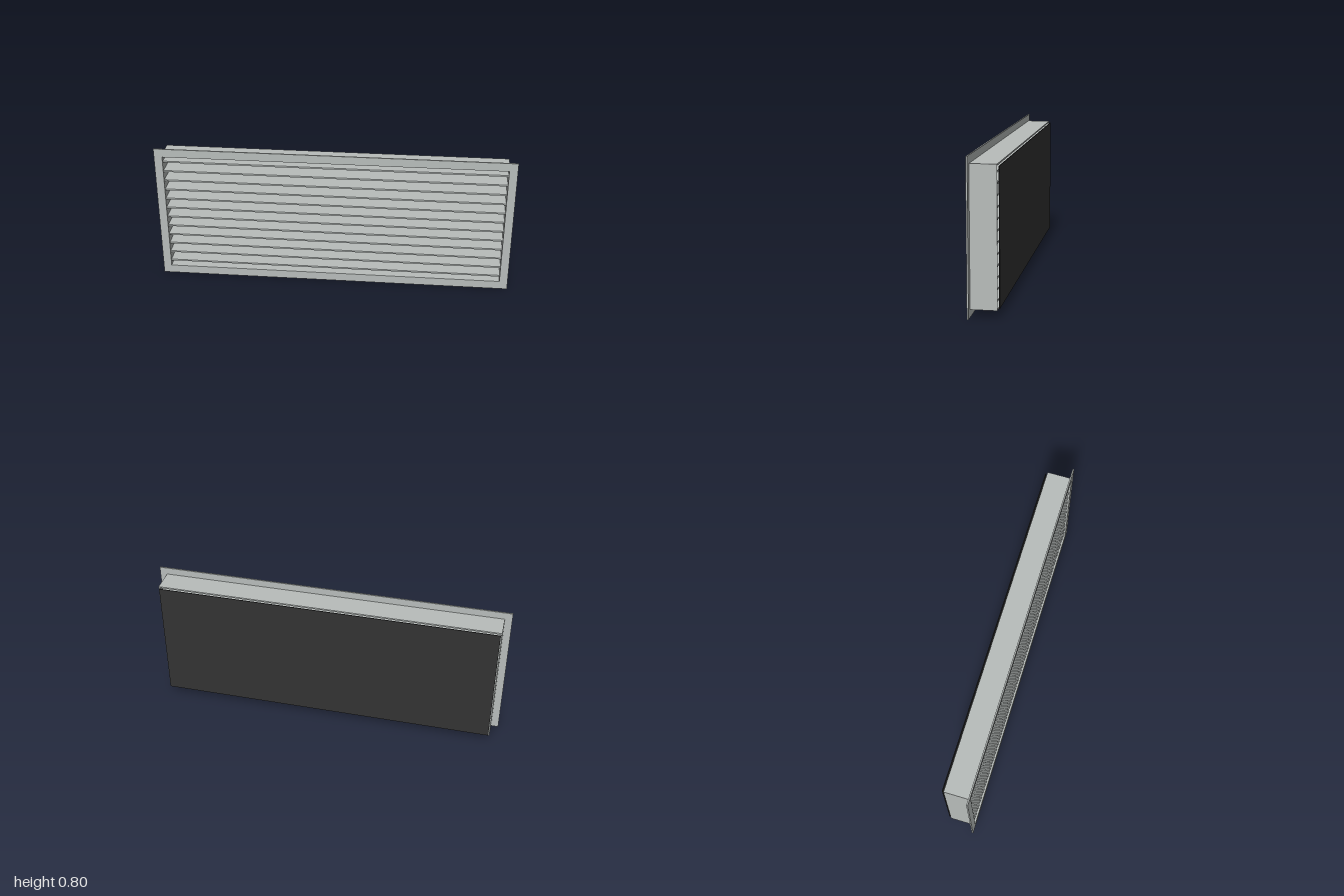
import * as THREE from 'three';

const HEIGHT = 0.797, MID = HEIGHT / 2;

// Rectangular ring with an opening, extruded from zBack to zFront
function ring(w, h, innerW, innerH, zBack, zFront) {
  const rect = (path, a, b) => path
    .moveTo(-a / 2, -b / 2).lineTo(a / 2, -b / 2)
    .lineTo(a / 2, b / 2).lineTo(-a / 2, b / 2).closePath();
  const shape = new THREE.Shape();
  rect(shape, w, h);
  const hole = new THREE.Path();
  rect(hole, innerW, innerH);
  shape.holes.push(hole);
  const geo = new THREE.ExtrudeGeometry(shape, { depth: zFront - zBack, bevelEnabled: false });
  return geo.translate(0, MID, zBack);
}

export function createModel() {
  const group = new THREE.Group();
  const metal = new THREE.MeshStandardMaterial({ color: 0xb8bdbb });
  metal.name = 'greyMetal';
  const dark = new THREE.MeshStandardMaterial({ color: 0x333333 });
  dark.name = 'darkScreen';

  const add = (name, geo, mat) => {
    const mesh = new THREE.Mesh(geo, mat);
    mesh.name = name;
    group.add(mesh);
    return mesh;
  };

  const openW = 1.908, openH = 0.701;

  // Front flange and the sleeve behind it
  add('frontFlange', ring(2, HEIGHT, openW, openH, 0.069, 0.077), metal);
  add('sleeve', ring(1.92, 0.717, openW, openH, -0.066, 0.069), metal);

  // Horizontal louvre blades
  const count = 12, pitch = 0.0579;
  const bladeGeo = new THREE.BoxGeometry(openW, 0.009, 0.13);
  for (let i = 0; i < count; i++) {
    add('blade' + (i + 1), bladeGeo, metal)
      .position.set(0, MID + (i - (count - 1) / 2) * pitch, 0.004);
  }

  // Rear screen, set just off the sleeve
  add('rearScreen', new THREE.BoxGeometry(openW, 0.699, 0.004), dark)
    .position.set(0, MID, -0.075);

  return group;
}
